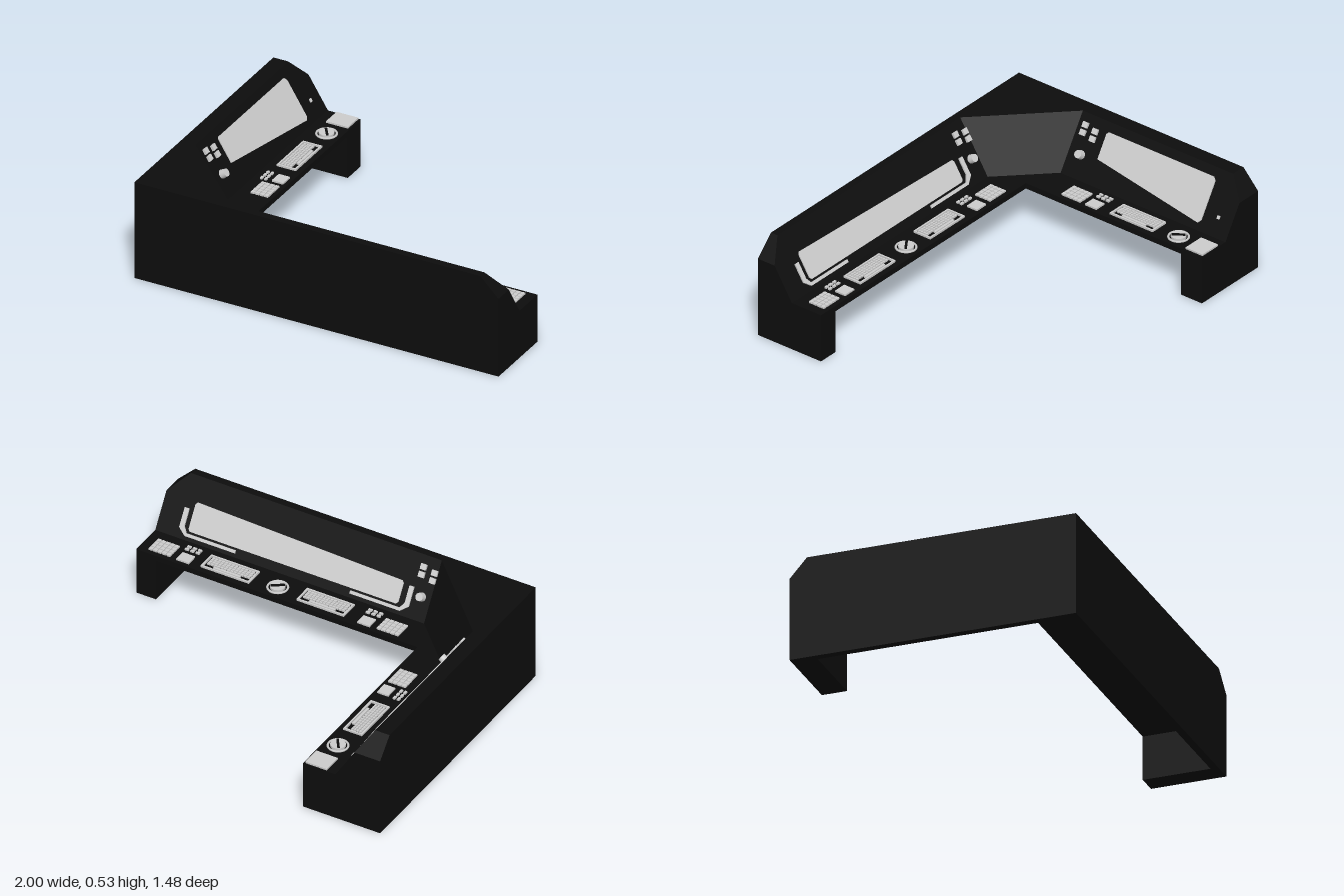
import * as THREE from 'three';
import { ConvexGeometry } from 'three/addons/geometries/ConvexGeometry.js';

const dark = new THREE.MeshStandardMaterial({ color: 0x0d0d0d });
const grey = new THREE.MeshStandardMaterial({ color: 0xcccccc });

// Main sizes: desk height, full height, chamfered end height
const DESK = 0.26, TOP = 0.53, CUT = 0.43;
// Sloped panel: distance of its foot and top edge from the inner desk edge
const FOOT = 0.18, RIM = 0.35;
const TILT = Math.atan2(RIM - FOOT, TOP - DESK);

function add(parent, name, geometry, material, x = 0, y = 0, z = 0) {
  const mesh = new THREE.Mesh(geometry, material);
  mesh.name = name;
  mesh.position.set(x, y, z);
  parent.add(mesh);
  return mesh;
}

// Box given by its limits
function box(parent, name, x0, x1, y0, y1, z0, z1, material = grey) {
  return add(parent, name, new THREE.BoxGeometry(x1 - x0, y1 - y0, z1 - z0), material,
    (x0 + x1) / 2, (y0 + y1) / 2, (z0 + z1) / 2);
}

function hull(parent, name, points) {
  add(parent, name, new ConvexGeometry(points.map((p) => new THREE.Vector3(...p))), dark);
}

function outline(points) {
  return new THREE.Shape(points.map((p) => new THREE.Vector2(...p)));
}

function group(parent, name) {
  const g = new THREE.Group();
  g.name = name;
  parent.add(g);
  return g;
}

// Upper housing of one arm: u runs along the arm, w away from the operator
function housing(arm, joint, cutStart, end, outer) {
  const rimAtCut = FOOT + (RIM - FOOT) * (CUT - DESK) / (TOP - DESK);
  const points = [];
  for (const u of [joint, cutStart]) points.push([u, TOP, RIM], [u, TOP, outer]);
  for (const u of [joint, end]) points.push([u, DESK, FOOT], [u, DESK, outer]);
  points.push([end, CUT, rimAtCut], [end, CUT, outer]);
  hull(arm, 'upperHousing', points);
}

// Grid of small raised keys
function keys(parent, name, u0, u1, w0, w1, cols, rows, gap) {
  const du = (u1 - u0) / cols, dw = (w1 - w0) / rows;
  for (let i = 0; i < cols; i++) for (let j = 0; j < rows; j++) {
    box(parent, name, u0 + i * du + gap / 2, u0 + (i + 1) * du - gap / 2, DESK, DESK + 0.009,
      w0 + j * dw + gap / 2, w0 + (j + 1) * dw - gap / 2);
  }
}

function keyboard(arm, u0, u1) {
  const g = group(arm, 'keyboard'), w0 = 0.03, w1 = 0.135, t = 0.009;
  box(g, 'frameEnd', u0, u0 + t, DESK, DESK + 0.01, w0, w1);
  box(g, 'frameEnd', u1 - t, u1, DESK, DESK + 0.01, w0, w1);
  box(g, 'frameSide', u0, u1, DESK, DESK + 0.01, w0, w0 + t);
  box(g, 'frameSide', u0, u1, DESK, DESK + 0.01, w1 - t, w1);
  keys(g, 'key', u0 + 0.015, u1 - 0.015, w0 + 0.032, w1 - 0.013, 13, 4, 0.004);
  box(g, 'spaceBar', u0 + 0.06, u1 - 0.06, DESK, DESK + 0.009, w0 + 0.015, w0 + 0.028);
}

function dial(arm, u) {
  const g = group(arm, 'dial');
  g.position.set(u, DESK, 0.075);
  const ring = add(g, 'dialRing', new THREE.TorusGeometry(0.05, 0.006, 6, 32), grey, 0, 0.003, 0);
  ring.rotation.x = Math.PI / 2;
  add(g, 'dialDisc', new THREE.CylinderGeometry(0.038, 0.038, 0.012, 32), grey, 0, 0.006, 0);
  const grip = box(g, 'dialGrip', -0.034, 0.034, 0.01, 0.018, -0.006, 0.006, dark);
  grip.rotation.y = 0.6;
}

function buttonsAndDisplay(arm, u) {
  const g = group(arm, 'buttonsAndDisplay');
  box(g, 'smallDisplay', u - 0.035, u + 0.035, DESK, DESK + 0.009, 0.02, 0.082);
  keys(g, 'button', u - 0.045, u + 0.045, 0.105, 0.15, 3, 2, 0.01);
}

// Shape on the sloped panel, points given as [u, height]
function onPanel(panel, name, points, depth, material = grey) {
  const geometry = new THREE.ExtrudeGeometry(
    outline(points.map(([u, y]) => [u, (y - DESK) / Math.cos(TILT)])),
    { depth, bevelEnabled: false });
  geometry.translate(0, 0, -depth);
  return add(panel, name, geometry, material);
}

function rect(u0, u1, y0, y1) {
  return [[u0, y0], [u1, y0], [u1, y1], [u0, y1]];
}

// Switch columns and a knob beside a screen
function switches(panel, u) {
  for (const [du, y] of [[0.025, 0.46], [-0.04, 0.45]]) {
    for (let i = 0; i < 2; i++) {
      onPanel(panel, 'switch', rect(u + du - 0.016, u + du + 0.016, y - 0.024 + i * 0.033, y + i * 0.033), 0.012);
    }
  }
  const knob = add(panel, 'knob', new THREE.CylinderGeometry(0.02, 0.023, 0.03, 20), grey,
    u - 0.005, (0.36 - DESK) / Math.cos(TILT), -0.015);
  knob.rotation.x = -Math.PI / 2;
}

function slopedPanel(arm) {
  const panel = group(arm, 'slopedPanel');
  panel.position.set(0, DESK, FOOT);
  panel.rotation.x = TILT;
  return panel;
}

export function createModel() {
  const model = new THREE.Group();
  model.name = 'cornerConsole';

  // L-shaped desk slab
  const slab = new THREE.ExtrudeGeometry(outline([
    [-1, -0.74], [1, -0.74], [1, -0.35], [-0.57, -0.35], [-0.57, 0.74], [-1, 0.74],
  ]), { depth: 0.03, bevelEnabled: false });
  slab.rotateX(-Math.PI / 2);
  add(model, 'deskTop', slab, dark, 0, DESK - 0.03, 0);

  // Outer walls and end supports around the open leg space
  box(model, 'frontWall', -1, 1, 0, DESK, 0.7, 0.74, dark);
  box(model, 'sideWall', -1, -0.96, 0, DESK, -0.74, 0.74, dark);
  box(model, 'endSupport', 0.89, 1, 0, DESK, 0.35, 0.74, dark);
  box(model, 'endSupport', -1, -0.57, 0, DESK, -0.74, -0.61, dark);

  // Housing across the corner
  const corner = [];
  for (const [y, off] of [[DESK, FOOT], [TOP, RIM]]) {
    corner.push([-0.57 - off, y, 0.28], [-0.5, y, 0.35 + off],
      [-1, y, 0.28], [-0.5, y, 0.74], [-1, y, 0.74]);
  }
  hull(model, 'cornerHousing', corner);

  // Long arm
  const long = group(model, 'longArm');
  long.position.z = 0.35;
  housing(long, -0.5, 0.9, 1, 0.39);
  keyboard(long, -0.14, 0.125);
  keyboard(long, 0.39, 0.66);
  dial(long, 0.255);
  for (const side of [-1, 1]) {
    const mid = 0.25;
    buttonsAndDisplay(long, mid + side * 0.505);
    const k = mid + side * 0.637;
    keys(long, 'keypadKey', k - 0.062, k + 0.062, 0.023, 0.12, 5, 4, 0.004);
  }
  const longPanel = slopedPanel(long);
  onPanel(longPanel, 'longScreen', [
    [-0.33, 0.3], [0.82, 0.3], [0.83, 0.31], [0.83, 0.415], [0.82, 0.425], [-0.33, 0.4], [-0.34, 0.39], [-0.34, 0.31],
  ], 0.006);
  for (const side of [-1, 1]) {
    const b = [[0.32, 0.277], [0.6, 0.277], [0.64, 0.305], [0.64, 0.39], [0.615, 0.39],
      [0.615, 0.315], [0.595, 0.29], [0.32, 0.29]].map(([u, y]) => [0.24 + side * u, y]);
    onPanel(longPanel, 'screenTrim', b, 0.008);
  }
  switches(longPanel, -0.445);

  // Short arm, turned to run along z
  const short = group(model, 'shortArm');
  short.position.x = -0.57;
  short.rotation.y = -Math.PI / 2;
  housing(short, 0.28, -0.65, -0.74, 0.43);
  keyboard(short, -0.41, -0.145);
  dial(short, -0.535);
  buttonsAndDisplay(short, -0.035);
  keys(short, 'keypadKey', 0.03, 0.15, 0.02, 0.12, 5, 4, 0.004);
  box(short, 'flatDisplay', -0.735, -0.63, DESK, DESK + 0.009, 0.01, 0.13);
  const shortPanel = slopedPanel(short);
  onPanel(shortPanel, 'wideScreen', [
    [-0.555, 0.29], [0.105, 0.37], [0.105, 0.48], [0.095, 0.49], [-0.555, 0.49], [-0.57, 0.475], [-0.57, 0.305],
  ], 0.006);
  switches(shortPanel, 0.21);
  onPanel(shortPanel, 'indicator', rect(-0.665, -0.65, 0.335, 0.35), 0.006);

  return model;
}
